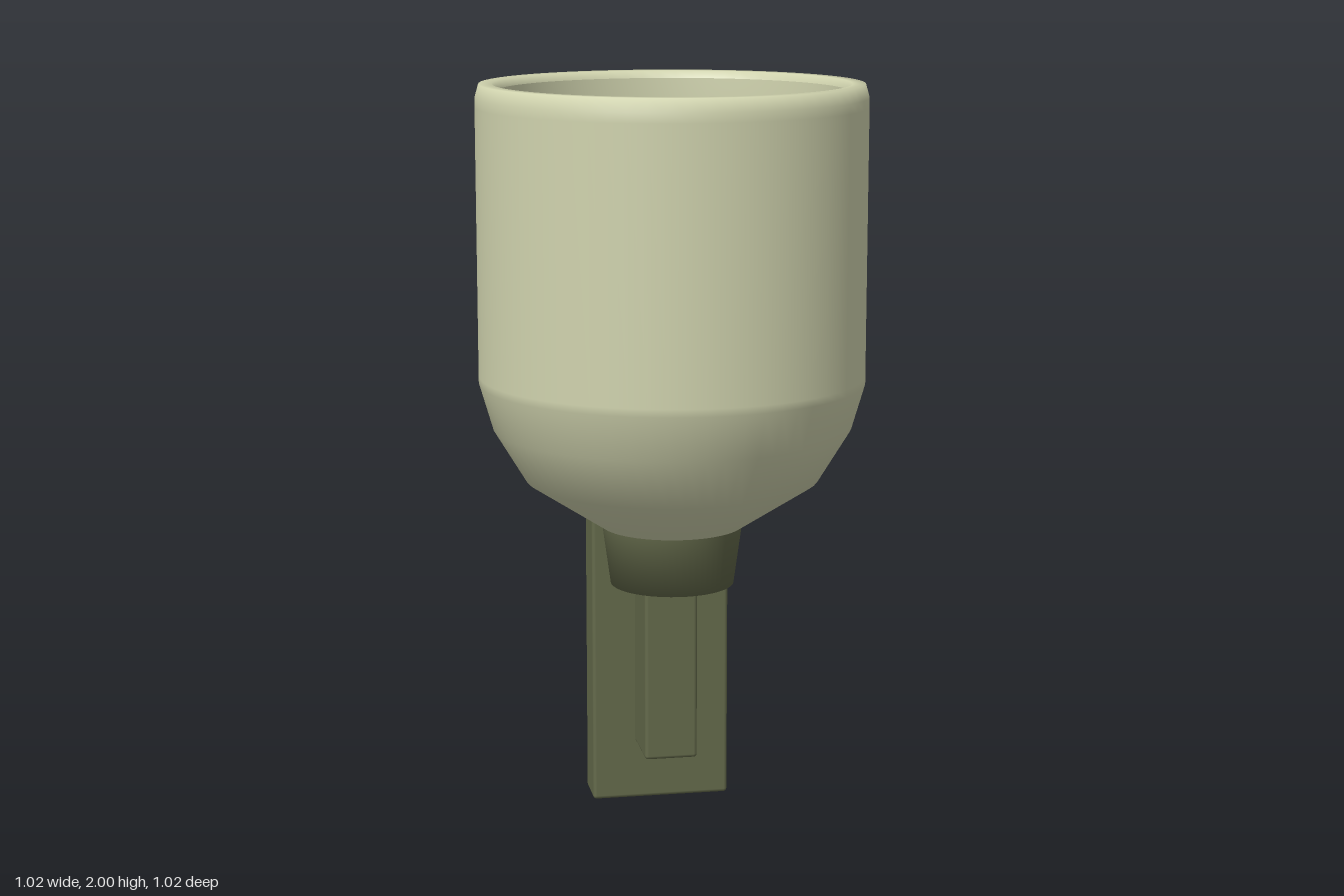
import * as THREE from 'three';
import { RoundedBoxGeometry } from 'three/addons/geometries/RoundedBoxGeometry.js';

const paleSage = new THREE.MeshStandardMaterial({ color: 0xd0d3ae });
paleSage.name = 'paleSage';
const darkOlive = new THREE.MeshStandardMaterial({ color: 0x646a4b });
darkOlive.name = 'darkOlive';

export function createModel() {
  const model = new THREE.Group();
  model.name = 'cupOnBracket';

  const add = (name, geometry, material) => {
    const mesh = new THREE.Mesh(geometry, material);
    mesh.name = name;
    model.add(mesh);
    return mesh;
  };
  // Surface of revolution, profile given as [radius, height]
  const turn = (name, profile, material) =>
    add(name, new THREE.LatheGeometry(profile.map(([r, y]) => new THREE.Vector2(r, y)), 64), material);
  // Softly bevelled box from its ranges on each axis
  const block = (name, [x0, x1], [y0, y1], [z0, z1]) => {
    const geometry = new RoundedBoxGeometry(x1 - x0, y1 - y0, z1 - z0, 2, 0.01);
    add(name, geometry, darkOlive).position.set((x0 + x1) / 2, (y0 + y1) / 2, (z0 + z1) / 2);
  };

  // Cup: outer wall, rounded rim, and inner wall
  turn('cupOuter', [
    [0.0, 0.83], [0.19, 0.83], [0.19, 0.83], [0.39, 0.96], [0.475, 1.1],
    [0.51, 1.22], [0.51, 1.24], [0.51, 1.94], [0.51, 1.965], [0.5, 2.0], [0.465, 2.0], [0.457, 1.98],
  ], paleSage);
  turn('cupInner', [
    [0.457, 1.98], [0.455, 1.9], [0.455, 1.24], [0.425, 1.12], [0.35, 1.0], [0.0, 0.9],
  ], paleSage);

  // Shallow domed floor inside the cup
  const dome = [[0.358, 0.95], [0.358, 1.0], [0.35, 1.015]];
  for (let i = 1; i <= 8; i++) {
    const r = 0.35 * (1 - i / 8);
    dome.push([r, 1.015 + 0.09 * (1 - (r / 0.35) ** 2)]);
  }
  turn('cupFloor', dome, paleSage);

  // Tapered collar under the cup
  turn('collar', [[0, 0.67], [0.165, 0.67], [0.187, 0.83], [0.19, 0.831]], darkOlive);

  // Mounting plate and the bar in front of it
  block('backPlate', [-0.19, 0.19], [0, 0.83], [-0.305, -0.18]);
  block('supportBar', [-0.072, 0.072], [0.165, 0.865], [-0.235, -0.01]);

  return model;
}
